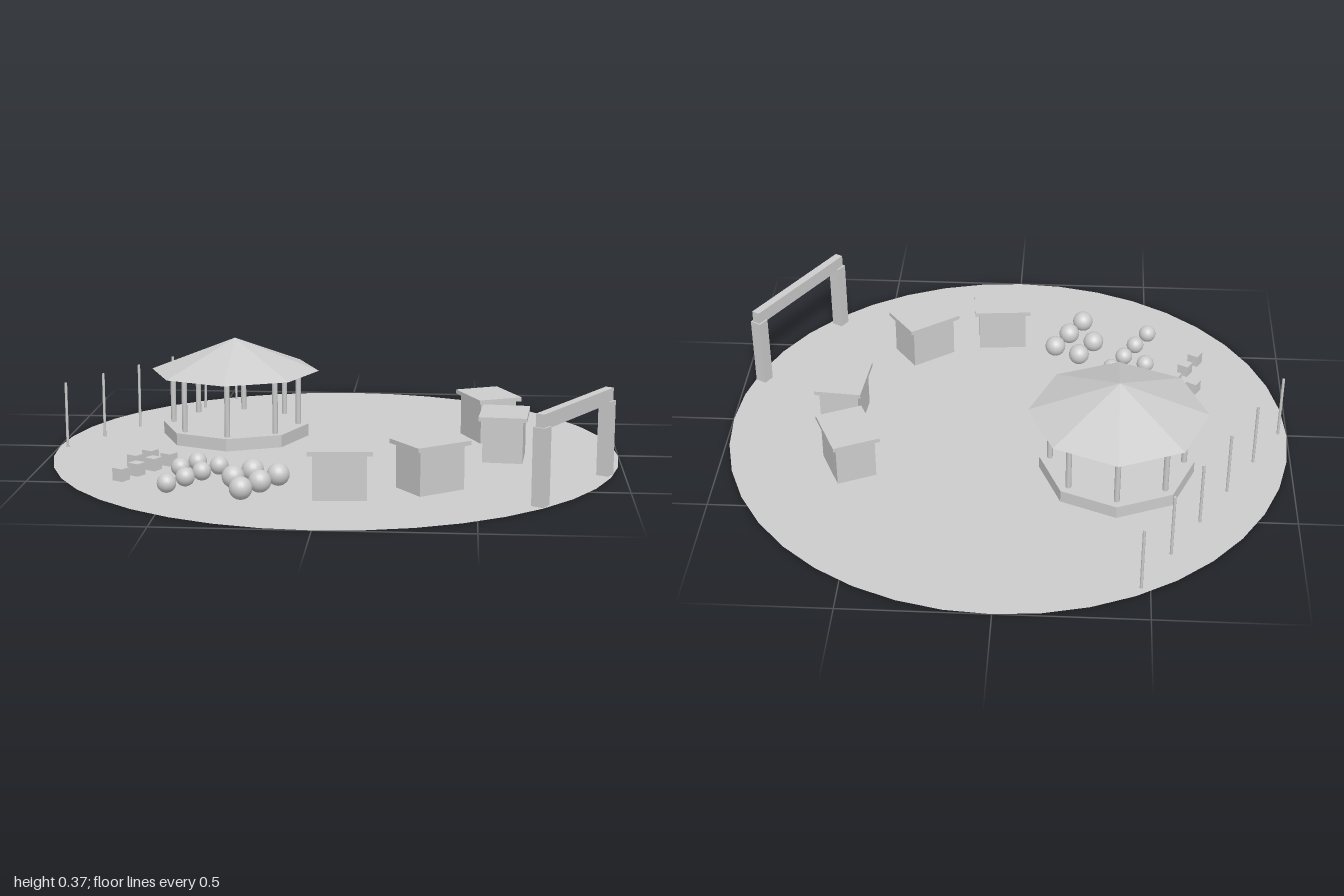
import * as THREE from 'three';

export function createModel() {
  const model = new THREE.Group();
  const flat = new THREE.MeshStandardMaterial({ color: 0xcccccc, flatShading: true });
  const smooth = new THREE.MeshStandardMaterial({ color: 0xcccccc });
  const thin = new THREE.MeshStandardMaterial({ color: 0xcccccc, side: THREE.DoubleSide });

  const add = (parent, name, geometry, x, y, z, material = flat) => {
    const mesh = new THREE.Mesh(geometry, material);
    mesh.name = name;
    mesh.position.set(x, y, z);
    parent.add(mesh);
    return mesh;
  };
  // Group on the ground, turned so its local x runs along (cos a, sin a) in x, z
  const group = (name, x, z, degrees = 0) => {
    const g = new THREE.Group();
    g.name = name;
    g.position.set(x, 0, z);
    g.rotation.y = -THREE.MathUtils.degToRad(degrees);
    model.add(g);
    return g;
  };

  // Ground disc
  add(model, 'ground', new THREE.CircleGeometry(1, 40).rotateX(-Math.PI / 2), 0, 0, 0, thin);

  // Eight-sided pavilion
  const pavilion = group('pavilion', -0.39, -0.23);
  add(pavilion, 'platform', new THREE.CylinderGeometry(0.27, 0.27, 0.045, 8), 0, 0.0225, 0);
  add(pavilion, 'roof', new THREE.ConeGeometry(0.31, 0.12, 8), 0, 0.305, 0);
  const column = new THREE.CylinderGeometry(0.01, 0.01, 0.205, 8);
  for (let i = 0; i < 8; i++) {
    const a = (i * Math.PI) / 4;
    add(pavilion, 'column', column, 0.233 * Math.cos(a), 0.1465, 0.233 * Math.sin(a), smooth);
  }

  // Market stalls: x, z, direction of the long side
  const stallBody = new THREE.BoxGeometry(0.175, 0.15, 0.14);
  const stallTop = new THREE.BoxGeometry(0.21, 0.015, 0.167);
  [[0.544, -0.254, 65.5], [0.597, 0.05, 95], [0.346, 0.489, -36], [0.055, 0.595, -5]].forEach(([x, z, a]) => {
    const stall = group('stall', x, z, a);
    add(stall, 'stallBody', stallBody, 0, 0.075, 0);
    add(stall, 'stallTop', stallTop, 0, 0.1575, 0);
  });

  // Entrance gate
  const gate = group('gate', 0.816, 0.469, -60);
  for (const side of [-1, 1]) {
    add(gate, 'gatePost', new THREE.BoxGeometry(0.043, 0.257, 0.043), side * 0.234, 0.1285, 0);
  }
  add(gate, 'gateBeam', new THREE.BoxGeometry(0.5, 0.05, 0.03), 0, 0.275, 0);

  // Row of poles along the edge
  const pole = new THREE.CylinderGeometry(0.005, 0.005, 0.237, 8);
  for (let i = 0; i < 6; i++) {
    add(model, 'pole', pole, -0.97 + 0.1 * i, 0.1185, 0.012 - 0.1725 * i, smooth);
  }

  // Round bushes in two sizes
  const bushes = (radius, spots) => {
    const ball = new THREE.SphereGeometry(radius, 20, 14);
    spots.forEach(([x, z]) => add(model, 'bush', ball, x, radius, z, smooth));
  };
  bushes(0.032, [[-0.45, 0.313], [-0.37, 0.361], [-0.497, 0.393], [-0.417, 0.441], [-0.46, 0.521], [-0.508, 0.604]]);
  bushes(0.038, [[-0.246, 0.436], [-0.155, 0.489], [-0.3, 0.527], [-0.206, 0.58], [-0.257, 0.671]]);

  // Small crates
  const crate = new THREE.BoxGeometry(0.042, 0.043, 0.04);
  [[-0.634, 0.2], [-0.561, 0.243], [-0.674, 0.27], [-0.604, 0.31], [-0.647, 0.385], [-0.687, 0.457]].forEach(([x, z]) => {
    add(group('crate', x, z, 30), 'crateBox', crate, 0, 0.0215, 0);
  });

  return model;
}
